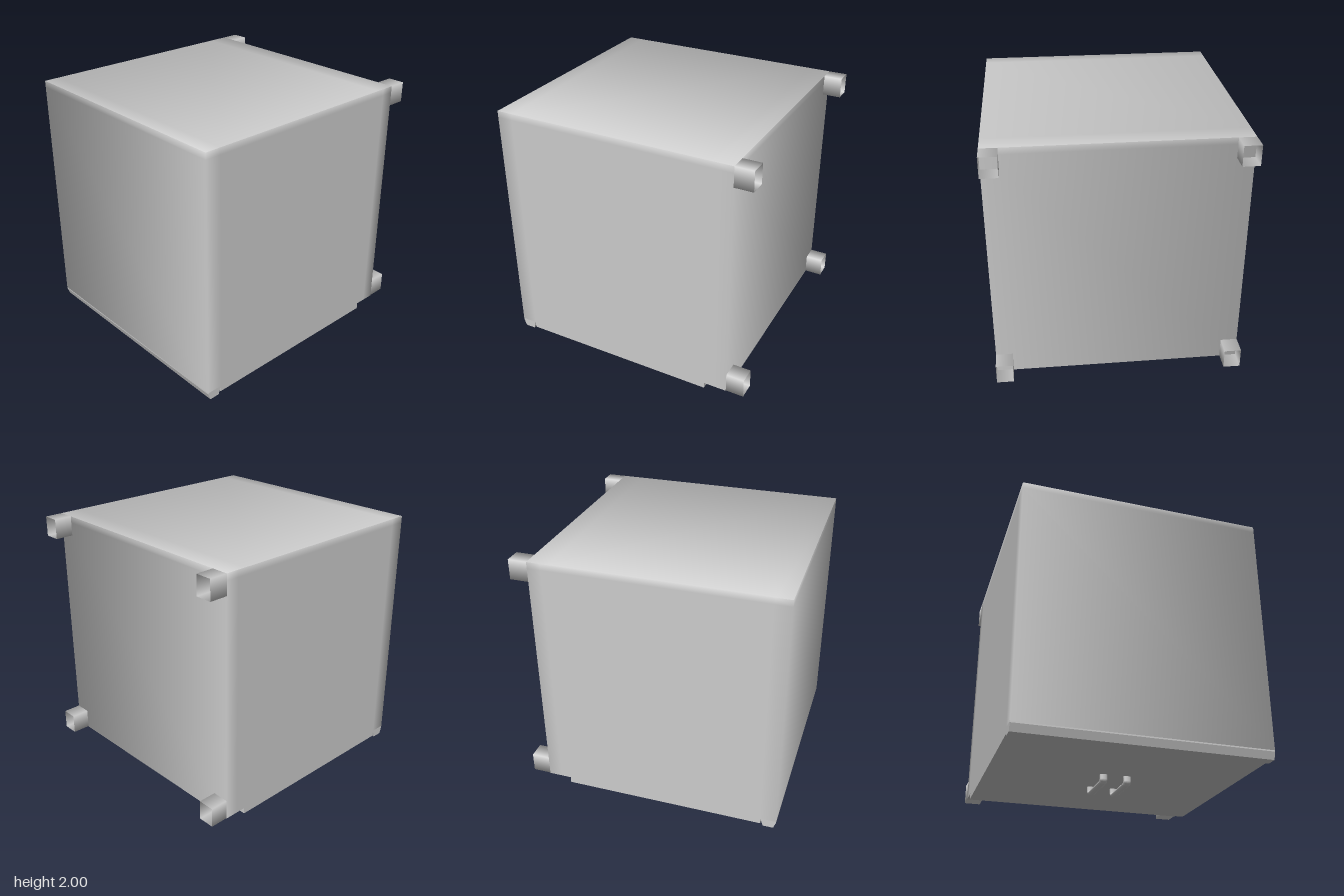
import * as THREE from 'three';

const W = 0.935, BACK = -0.86, FRONT = 1, BASE = 0.12, TOP = 2;

const material = new THREE.MeshStandardMaterial({ color: 0xcccccc, side: THREE.DoubleSide });

function add(group, name, geometry, x = 0, y = 0, z = 0) {
  const mesh = new THREE.Mesh(geometry, material);
  mesh.name = name;
  mesh.position.set(x, y, z);
  group.add(mesh);
}

// Skin between rows of points; the normals lean outward at the body's outer edges
function skin(rows, normalAt) {
  const pos = [], nor = [], idx = [], n = rows[0].length;
  rows.forEach((row, r) => row.forEach((p, i) => {
    pos.push(...p);
    nor.push(...normalAt(...p).normalize().toArray());
    if (r && i) {
      const b = r * n + i, a = b - 1, c = a - n, d = b - n;
      idx.push(c, d, a, d, b, a);
    }
  }));
  const g = new THREE.BufferGeometry();
  g.setAttribute('position', new THREE.Float32BufferAttribute(pos, 3));
  g.setAttribute('normal', new THREE.Float32BufferAttribute(nor, 3));
  g.setIndex(idx);
  return g;
}

const endLean = (z) => (z === FRONT ? 0.8 : z === BACK ? -0.8 : 0);

export function createModel() {
  const model = new THREE.Group();
  model.name = 'cabinet';

  // Four outer walls, softly shaded around the corners
  const loop = [[-W, FRONT], [W, FRONT], [W, 0.88], [W, -0.76], [W, BACK],
    [-W, BACK], [-W, -0.76], [-W, 0.88], [-W, FRONT]];
  add(model, 'outerWalls', skin([BASE, TOP - 0.05, TOP].map((y) => loop.map(([x, z]) => [x, y, z])),
    (x, y, z) => new THREE.Vector3(Math.sign(x), y === TOP ? 0.5 : 0, endLean(z))));

  // Upper face, blending into the front and back walls
  add(model, 'upperFace', skin([FRONT, 0.88, -0.7, BACK].map((z) => [[-W, TOP, z], [W, TOP, z]]),
    (x, y, z) => new THREE.Vector3(Math.sign(x) * 0.6, 1, endLean(z) * 0.6)));

  // Recessed strip underneath at the back, and the raised door panel
  add(model, 'recessedStrip', new THREE.PlaneGeometry(2 * W, 0.18).rotateX(Math.PI / 2), 0, BASE, -0.77);
  add(model, 'doorPanel', new THREE.BoxGeometry(2 * W, 0.048, 1.56), 0, 0.096, 0.1);

  // Chamfered lip along the front lower edge
  const lip = new THREE.Shape([[1, BASE], [1, 0.11], [0.98, 0.055], [0.9, 0.055], [0.88, BASE]]
    .map(([z, y]) => new THREE.Vector2(-z, y)));
  add(model, 'frontLip', new THREE.ExtrudeGeometry(lip, { depth: 2 * W, bevelEnabled: false })
    .rotateY(Math.PI / 2), -W, 0, 0);

  // Pair of bar handles on the door panel
  const path = new THREE.CurvePath();
  const pts = [[0.09, 0.265], [0.032, 0.265], [0.018, 0.245], [0.018, -0.05], [0.032, -0.07], [0.09, -0.07]]
    .map(([y, z]) => new THREE.Vector3(0, y, z));
  for (let i = 1; i < pts.length; i++) path.add(new THREE.LineCurve3(pts[i - 1], pts[i]));
  const handle = new THREE.TubeGeometry(path, 60, 0.0175, 10).scale(1.7, 1, 1);
  for (const s of [1, -1]) add(model, s > 0 ? 'leftHandle' : 'rightHandle', handle, 0.005 + 0.092 * s, 0, 0);

  // Four hollow rectangular feet at the back
  const foot = new THREE.CylinderGeometry(Math.SQRT1_2, Math.SQRT1_2, 1, 4, 1, true, Math.PI / 4)
    .rotateX(Math.PI / 2).scale(0.127, 0.152, 0.14);
  for (const s of [1, -1]) {
    for (const y of [0.2, 1.924]) add(model, 'foot', foot, s * (W - 0.0635), y, -0.93);
  }
  return model;
}
